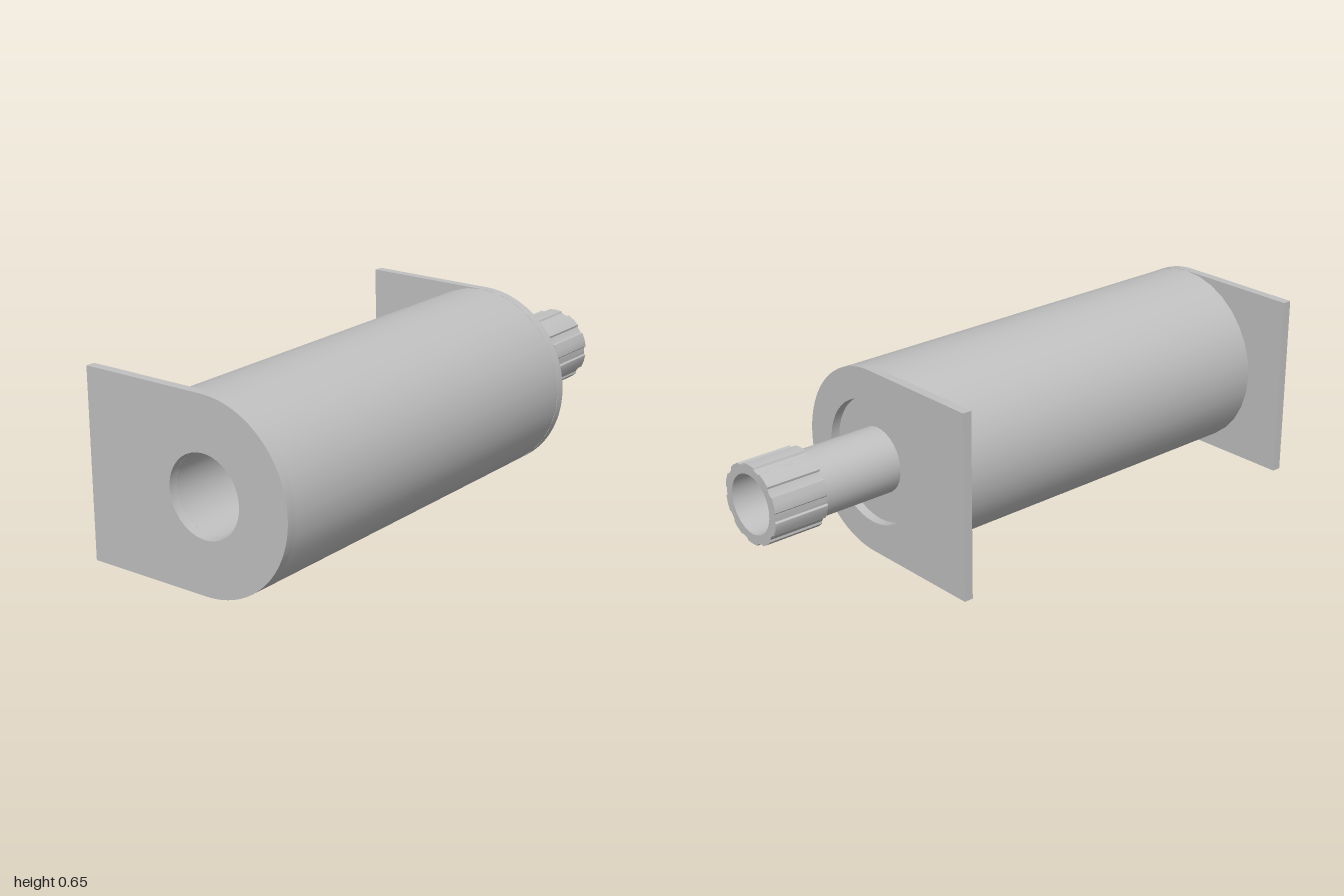
import * as THREE from 'three';
import { toCreasedNormals } from 'three/addons/utils/BufferGeometryUtils.js';

const AXIS_Y = 0.327, AXIS_Z = 0.073, R = 0.327;
const PLATE = 0.033, BORE = 0.102;

export function createModel() {
  const group = new THREE.Group();
  const grey = new THREE.MeshStandardMaterial({ color: 0xc0c0c0 });

  const add = (name, geometry) => {
    const mesh = new THREE.Mesh(toCreasedNormals(geometry, 0.5), grey);
    mesh.name = name;
    mesh.position.set(0, AXIS_Y, AXIS_Z);
    group.add(mesh);
  };

  // Solid of revolution about the x axis, from [radius, x] pairs
  const turned = (name, profile, segments) => {
    const points = profile.map(([r, x]) => new THREE.Vector2(r, x));
    add(name, new THREE.LatheGeometry(points, segments).rotateZ(-Math.PI / 2));
  };

  // Shape in the z-y plane with a round hole, extruded from x0 to x1
  const extruded = (name, shape, hole, x0, x1) => {
    shape.holes.push(new THREE.Path().absarc(0, 0, hole, 0, Math.PI * 2, true));
    const geometry = new THREE.ExtrudeGeometry(shape, { depth: x1 - x0, bevelEnabled: false, curveSegments: 24 });
    add(name, geometry.rotateY(-Math.PI / 2).translate(x1, 0, 0));
  };

  // Main cylinder with a deep blind bore in its right end
  turned('body', [
    [0, 0.3], [0.14, 0.3], [0.14, -1 + PLATE], [R, -1 + PLATE], [R, 0.49], [0, 0.49],
  ], 32);

  // End plates: rounded at the front, square at the back
  const plateShape = () => {
    const back = -0.4 - AXIS_Z;
    const shape = new THREE.Shape();
    shape.moveTo(back, -R);
    shape.lineTo(0, -R);
    shape.absarc(0, 0, R, -Math.PI / 2, Math.PI / 2, false);
    shape.lineTo(back, R);
    shape.closePath();
    return shape;
  };
  extruded('rightEndPlate', plateShape(), 0.14, -1, -1 + PLATE);
  extruded('leftEndPlate', plateShape(), 0.218, 0.49, 0.49 + PLATE);

  // Hollow output shaft
  turned('shaft', [
    [0.115, 0.488], [0.115, 0.8], [BORE, 0.8], [BORE, 0.53], [0, 0.53],
  ], 32);

  // Splined collar with ten shallow grooves
  const collar = [];
  for (let i = 0; i < 10; i++) {
    for (const [degrees, r] of [[-7.5, 0.138], [-5.5, 0.132], [0, 0.1305], [5.5, 0.132], [7.5, 0.138], [18, 0.138]]) {
      const a = THREE.MathUtils.degToRad(i * 36 + degrees);
      collar.push(new THREE.Vector2(r * Math.cos(a), r * Math.sin(a)));
    }
  }
  extruded('splinedCollar', new THREE.Shape(collar), BORE, 0.8, 1);

  return group;
}
